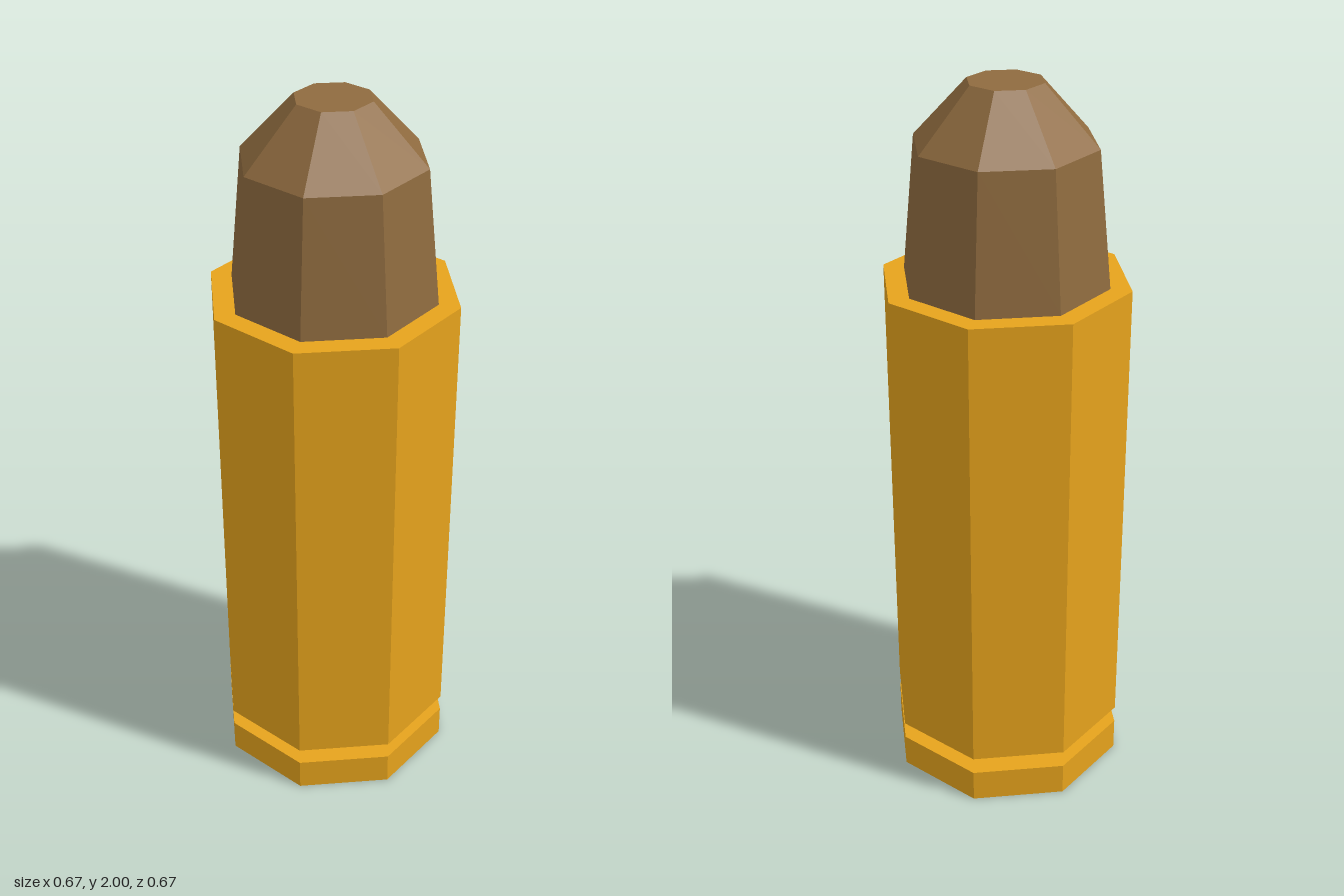
import * as THREE from 'three';

const SIDES = 8;

// Eight-sided faceted solid turned from a [radius, height] profile, bottom to top
function turned(name, profile, color) {
  const points = profile.map(([r, y]) => new THREE.Vector2(r, y));
  const material = new THREE.MeshStandardMaterial({ color, flatShading: true });
  const mesh = new THREE.Mesh(new THREE.LatheGeometry(points, SIDES), material);
  mesh.name = name;
  return mesh;
}

export function createModel() {
  const model = new THREE.Group();
  model.name = 'cartridge';

  // Brass case: base rim, extractor groove, body and flat mouth
  model.add(turned('case', [
    [0, 0], [0.337, 0], [0.337, 0.095],
    [0.27, 0.095], [0.27, 0.145],
    [0.337, 0.145], [0.337, 1.48], [0.279, 1.48],
  ], 0xe6a31c));

  // Bullet: tapered shank, sloped nose and flat tip
  model.add(turned('bullet', [
    [0.279, 1.48], [0.243, 1.845], [0.1, 2], [0, 2],
  ], 0x8f6b3f));

  return model;
}
